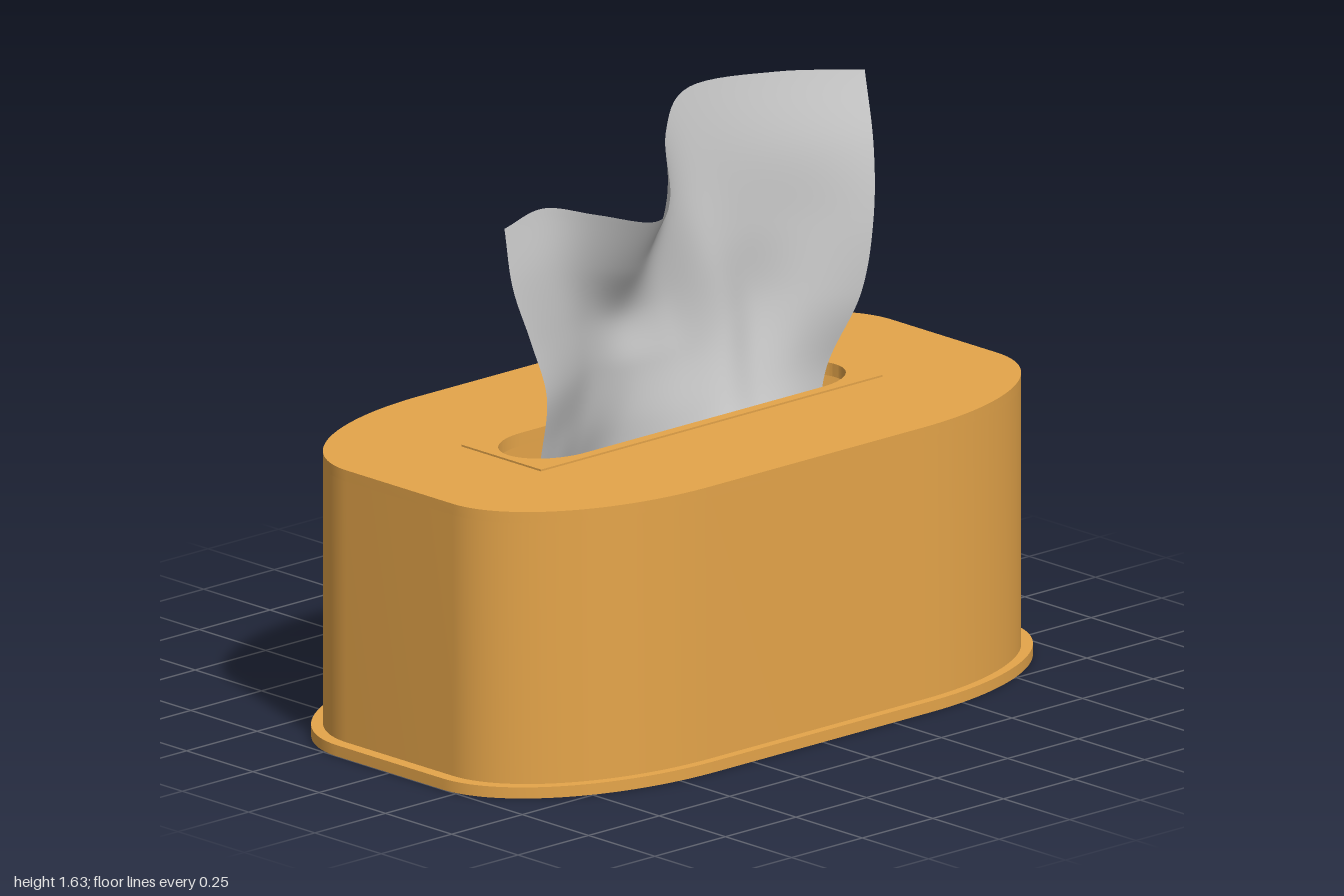
import * as THREE from 'three';
import { toCreasedNormals } from 'three/addons/utils/BufferGeometryUtils.js';

const orange = new THREE.MeshStandardMaterial({ color: 0xe5a54a });
const paper = new THREE.MeshStandardMaterial({ color: 0xcccccc, side: THREE.DoubleSide });

// Rectangle with elliptical corners (half sizes hx, hz; corner radii rx, rz).
function outline(hx, hz, rx, rz, Type = THREE.Shape) {
  const s = new Type();
  const cx = hx - rx, cz = hz - rz, q = Math.PI / 2;
  s.moveTo(hx, -cz);
  [[cx, cz], [-cx, cz], [-cx, -cz], [cx, -cz]].forEach(([x, z], i) =>
    s.absellipse(x, z, rx, rz, i * q, (i + 1) * q, false, 0));
  s.closePath();
  return s;
}

// Body footprint pulled in by a constant amount.
const footprint = (inset, Type) => outline(1 - inset, 0.57 - inset * 0.7, 0.62 - inset, 0.37 - inset * 0.7, Type);
const slot = () => outline(0.58, 0.12, 0.16, 0.12, THREE.Path);

// Upright slab of a plan shape between two heights.
function slab(name, shape, y0, y1, hole) {
  if (hole) shape.holes.push(hole);
  const g = new THREE.ExtrudeGeometry(shape, { depth: y1 - y0, bevelEnabled: false, curveSegments: 20 });
  g.rotateX(-Math.PI / 2).translate(0, y0, 0);
  const m = new THREE.Mesh(toCreasedNormals(g, 0.5), orange);
  m.name = name;
  return m;
}

// Smooth interpolation through evenly spaced values, t in 0..1.
function spline(values, t) {
  const n = values.length - 1, p = t * n, i = Math.min(Math.floor(p), n - 1), f = p - i;
  const at = k => k < 0 ? 2 * values[0] - values[1]
    : k > n ? 2 * values[n] - values[n - 1] : values[k];
  const a = at(i - 1), b = at(i), c = at(i + 1), d = at(i + 2);
  return b + 0.5 * f * (c - a + f * (2 * a - 5 * b + 4 * c - d + f * (3 * (b - c) + d - a)));
}

// Draped sheet: side edges, top edge and a coarse grid of fold depths.
function tissue() {
  const leftX = [-0.5, -0.48, -0.5, -0.565, -0.63, -0.65];
  const rightX = [0.44, 0.49, 0.575, 0.61, 0.63, 0.65];
  const topX = [-0.65, -0.52, -0.36, -0.18, -0.1, -0.06, 0.06, 0.36, 0.65];
  const topY = [1.41, 1.44, 1.395, 1.345, 1.39, 1.54, 1.63, 1.61, 1.56];
  const folds = [
    [0.0, -0.06, -0.12, -0.12, 0.0, 0.13, 0.14, 0.12, 0.08],
    [0.02, -0.03, -0.07, -0.07, 0.01, 0.08, 0.07, 0.07, 0.06],
    [0.06, 0.02, -0.04, -0.05, 0.0, 0.05, 0.03, 0.07, 0.1],
    [0.07, 0.05, -0.01, -0.05, -0.02, 0.04, 0.03, 0.06, 0.11],
    [0.07, 0.07, 0.05, 0.04, 0.01, 0.03, 0.02, 0.05, 0.09],
    [0.06, 0.07, 0.1, 0.13, 0.1, 0.04, 0.0, 0.01, 0.035],
  ];
  const base = 0.6;
  const g = new THREE.PlaneGeometry(1, 1, 64, 48);
  const pos = g.attributes.position;
  for (let i = 0; i < pos.count; i++) {
    const u = pos.getX(i) + 0.5, v = pos.getY(i) + 0.5;
    const x = THREE.MathUtils.lerp(spline(leftX, v), spline(rightX, v), u)
      + v * v * (spline(topX, u) - THREE.MathUtils.lerp(-0.65, 0.65, u));
    const y = base + v * (spline(topY, u) - base);
    pos.setXYZ(i, x, y, spline(folds.map(row => spline(row, u)), v));
  }
  g.computeVertexNormals();
  const m = new THREE.Mesh(g, paper);
  m.name = 'tissue';
  return m;
}

export function createModel() {
  const model = new THREE.Group();
  model.name = 'tissueBox';
  model.add(
    // Hollow box with a recessed floor and a flared foot
    slab('baseRim', footprint(0), 0, 0.03, footprint(0.065, THREE.Path)),
    slab('walls', footprint(0.035), 0.03, 0.735, footprint(0.065, THREE.Path)),
    slab('floor', footprint(0.065), 0.05, 0.07),
    // Lid and thin rectangular trim around the slot
    slab('lid', footprint(0.035), 0.735, 0.765, slot()),
    slab('slotTrim', new THREE.Shape([[0.605, -0.15], [0.605, 0.15], [-0.605, 0.15], [-0.605, -0.15]]
      .map(p => new THREE.Vector2(...p))), 0.765, 0.77, slot()),
    tissue(),
  );
  return model;
}
